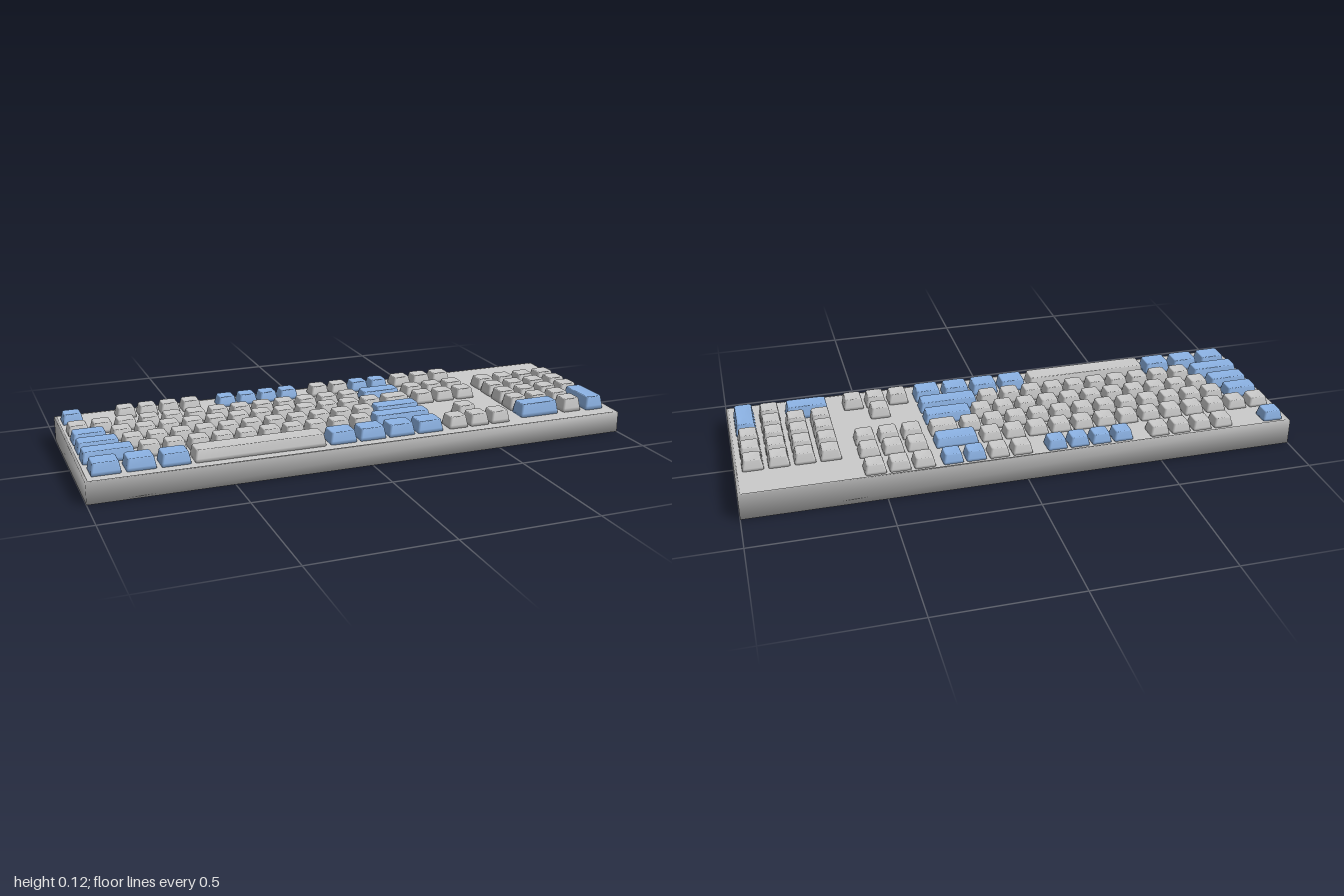
import * as THREE from 'three';

const grey = new THREE.MeshStandardMaterial({ color: 0xcccccc });
const blue = new THREE.MeshStandardMaterial({ color: 0x8db4e6 });

// The case top slopes up towards the back
const SLOPE = -0.0258, RIM_Y = 0.086, DECK_DROP = 0.004;
const deckY = z => RIM_Y - DECK_DROP + SLOPE * z;

// Closed solid through stacked rectangles: { w, d, y, r = corner radius, tilt = rise per z }
function loft(levels, corner = 0) {
  const pos = [], idx = [], n = 4 * (corner + 1);
  for (const { w, d, y, r = 0, tilt = 0 } of levels) {
    for (let q = 0; q < 4; q++) {
      const sx = q === 0 || q === 3 ? 1 : -1, sz = q < 2 ? 1 : -1;
      for (let k = 0; k <= corner; k++) {
        const a = (q + (corner ? k / corner : 0.5)) * Math.PI / 2;
        const x = sx * (w / 2 - r) + r * Math.cos(a);
        const z = sz * (d / 2 - r) + r * Math.sin(a);
        pos.push(x, y + tilt * z, z);
      }
    }
  }
  const bottom = pos.length / 3, top = bottom + 1, last = (levels.length - 1) * n;
  pos.push(0, levels[0].y, 0, 0, levels.at(-1).y, 0);
  for (let i = 0; i < n; i++) {
    const j = (i + 1) % n;
    for (let s = 0; s < last; s += n) {
      idx.push(s + i, s + n + i, s + j, s + j, s + n + i, s + n + j);
    }
    idx.push(bottom, i, j, top, last + j, last + i);
  }
  const g = new THREE.BufferGeometry();
  g.setAttribute('position', new THREE.Float32BufferAttribute(pos, 3));
  g.setIndex(idx);
  g.computeVertexNormals();
  return g;
}

// Tapered keycap with a softened edge and a shallow dish
function keycap(w, d, z, topY) {
  const base = deckY(z) - 0.002, h = topY - base;
  return loft([
    { w, d, y: 0, r: 0.006, tilt: SLOPE },
    { w: w - 0.003, d: d - 0.003, y: h * 0.3, r: 0.007 },
    { w: w - 0.013, d: d - 0.013, y: h - 0.003, r: 0.008 },
    { w: w - 0.018, d: d - 0.018, y: h, r: 0.008 },
    { w: w - 0.034, d: d - 0.034, y: h - 0.002, r: 0.006 },
  ], 2);
}

// Run of equal keys starting at left edge x0
function addRun(group, name, z, depth, topY, [x0, width, count = 1, pitch = 0, coloured = false]) {
  const geometry = keycap(width, depth, z, topY);
  for (let i = 0; i < count; i++) {
    const key = new THREE.Mesh(geometry, coloured ? blue : grey);
    key.name = name;
    key.position.set(x0 + width / 2 + i * pitch, deckY(z) - 0.002, z);
    group.add(key);
  }
}

export function createModel() {
  const model = new THREE.Group();
  model.name = 'keyboard';

  // Wedge case with a thin raised rim around the deck
  const body = new THREE.Mesh(loft([
    { w: 2, d: 0.66, y: 0 },
    { w: 2, d: 0.66, y: RIM_Y, tilt: SLOPE },
    { w: 1.98, d: 0.64, y: RIM_Y, tilt: SLOPE },
    { w: 1.976, d: 0.636, y: RIM_Y - DECK_DROP, tilt: SLOPE },
  ]), grey);
  body.name = 'case';
  model.add(body);

  const section = name => {
    const g = new THREE.Group();
    g.name = name;
    model.add(g);
    return g;
  };
  const K = 0.075, P = 0.0862;

  // Main block: each run is [left edge, width, count, pitch, coloured]
  const mainRows = [
    { z: -0.27, depth: 0.072, top: 0.125, runs: [
      [-0.981, K, 1, 0, true], [-0.783, 0.072, 4, 0.082], [-0.398, 0.072, 4, 0.082, true],
      [-0.024, 0.072, 2, 0.084], [0.143, 0.072, 2, 0.082, true]] },
    { z: -0.147, depth: K, top: 0.121, runs: [
      [-0.981, K, 13, P], [0.142, 0.155, 1, 0, true]] },
    { z: -0.053, depth: K, top: 0.121, runs: [
      [-0.981, 0.123, 1, 0, true], [-0.842, K, 12, P], [0.193, 0.104]] },
    { z: 0.038, depth: K, top: 0.12, runs: [
      [-0.981, 0.15, 1, 0, true], [-0.82, K, 11, P], [0.12, 0.177, 1, 0, true]] },
    { z: 0.133, depth: K, top: 0.12, runs: [
      [-0.981, 0.182, 1, 0, true], [-0.783, K, 10, P], [0.078, 0.219, 1, 0, true]] },
    { z: 0.236, depth: 0.086, top: 0.118, runs: [
      [-0.972, 0.102, 3, 0.1175, true], [-0.623, 0.47], [-0.138, 0.1, 4, 0.1115, true]] },
  ];
  const main = section('mainKeys');
  for (const { z, depth, top, runs } of mainRows) {
    for (const run of runs) addRun(main, 'key', z, depth, top, run);
  }

  // Navigation cluster and arrows
  const nav = section('navigationKeys');
  for (const [z, top] of [[-0.27, 0.125], [-0.147, 0.121], [-0.053, 0.121]]) {
    addRun(nav, 'navigationKey', z, K, top, [0.324, K, 3, 0.0855]);
  }
  addRun(nav, 'arrowKey', 0.139, K, 0.12, [0.409, K]);
  addRun(nav, 'arrowKey', 0.236, 0.077, 0.118, [0.324, K, 3, 0.0855]);

  // Number pad with a wide and a tall coloured key
  const pad = section('numberPad');
  [-0.131, -0.043, 0.045, 0.132].forEach((z, i) => {
    addRun(pad, 'padKey', z, 0.077, 0.125, [0.629, K, i < 3 ? 4 : 3, 0.0897]);
  });
  addRun(pad, 'widePadKey', 0.217, 0.077, 0.125, [0.629, 0.157, 1, 0, true]);
  addRun(pad, 'padKey', 0.217, 0.077, 0.125, [0.808, K]);
  addRun(pad, 'tallPadKey', 0.179, 0.168, 0.125, [0.901, K, 1, 0, true]);

  return model;
}
